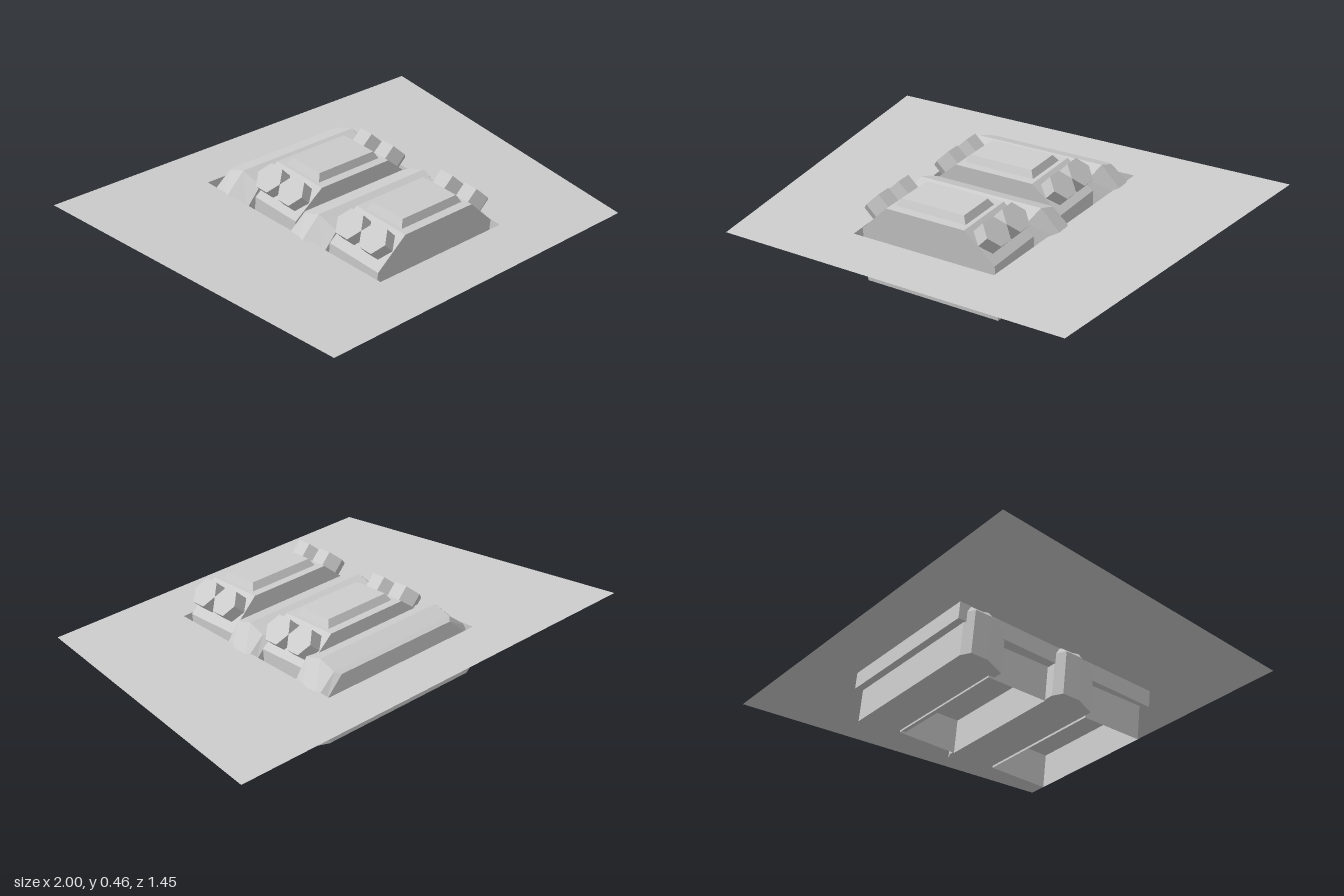
import * as THREE from 'three';

const material = new THREE.MeshStandardMaterial({
  color: 0xcccccc, flatShading: true, side: THREE.DoubleSide,
});

// Skins a row of cross-sections ({ z, pts: [[x, y], ...] }, back to front) and caps both ends.
function loft(sections, closed) {
  const out = [];
  const n = sections[0].pts.length;
  const at = (s, i) => [...s.pts[i % n], s.z];
  for (let k = 0; k < sections.length - 1; k++) {
    const s = sections[k], t = sections[k + 1];
    for (let i = 0; i < (closed ? n : n - 1); i++) {
      out.push(...at(s, i), ...at(t, i), ...at(s, i + 1));
      out.push(...at(s, i + 1), ...at(t, i), ...at(t, i + 1));
    }
  }
  const back = sections[0], front = sections[sections.length - 1];
  for (let i = 1; i < n - 1; i++) {
    out.push(...at(back, 0), ...at(back, i), ...at(back, i + 1));
    out.push(...at(front, 0), ...at(front, i + 1), ...at(front, i));
  }
  const g = new THREE.BufferGeometry();
  g.setAttribute('position', new THREE.Float32BufferAttribute(out, 3));
  g.computeVertexNormals();
  return g;
}

// Upright sides, sloping shoulders and a flat top.
const archProfile = (bottom, side, shoulder, flat, top) => [
  [-side, bottom], [-side, shoulder], [-flat, top],
  [flat, top], [side, shoulder], [side, bottom],
];

function add(parent, name, geometry) {
  const mesh = new THREE.Mesh(geometry, material);
  mesh.name = name;
  parent.add(mesh);
  return mesh;
}

export function createModel() {
  const root = new THREE.Group();
  root.name = 'enginePanel';
  // Everything lies on one plane that tips down towards the front.
  const deck = new THREE.Group();
  deck.name = 'slopedDeck';
  deck.rotation.x = 0.103;
  deck.position.y = 0.275;
  root.add(deck);

  // Tapered sheet with a tapered opening
  const trapezoid = (back, zb, front, zf) => [
    [-front, -zf], [front, -zf], [back, -zb], [-back, -zb],
  ].map(([x, y]) => new THREE.Vector2(x, y));
  const sheet = new THREE.Shape(trapezoid(1, -0.73, 0.82, 0.727));
  sheet.holes.push(new THREE.Path(trapezoid(0.39, -0.5, 0.345, 0.482).reverse()));
  add(deck, 'sheet', new THREE.ShapeGeometry(sheet).rotateX(-Math.PI / 2));

  // Shallow recess hanging under the opening
  const recess = (w, z) => ({ z, pts: [[w, 0], [w, -0.075], [-w, -0.075], [-w, 0]] });
  add(deck, 'recess', loft([recess(0.39, -0.5), recess(0.345, 0.482)], false));

  // Two blocks, each with a raised panel and four hexagonal studs
  [[0.311, 0.137], [-0.162, 0.125]].forEach(([zMid, top]) => {
    const block = new THREE.Group();
    block.name = 'block';
    block.position.z = zMid;
    deck.add(block);

    const pts = archProfile(-0.23, 0.325, 0.015, 0.19, top);
    add(block, 'blockBody', loft([{ z: -0.136, pts }, { z: 0.136, pts }], false));

    // Bevelled panel on the flat top
    const slab = (w, z, y) => [[-w, y, z], [w, y, z]];
    const panel = new THREE.BoxGeometry(0.34, 0.03, 0.195);
    const p = panel.attributes.position;
    for (let i = 0; i < p.count; i++) {
      if (p.getY(i) > 0) p.setXYZ(i, p.getX(i) * 0.9, p.getY(i), p.getZ(i) * 0.82);
    }
    panel.computeVertexNormals();
    add(block, 'raisedPanel', panel).position.y = top + 0.015;

    // Studs standing square on the sloping shoulders
    for (const side of [-1, 1]) {
      for (const z of [-0.066, 0.066]) {
        const stud = add(block, 'stud', new THREE.CylinderGeometry(0.066, 0.066, 0.1, 6));
        stud.position.set(side * 0.26, top - 0.045, z);
        stud.rotation.z = -side * Math.PI / 4;
      }
    }
  });

  // Two wider ribs behind the blocks, chamfered at both ends
  [[0, 0], [-0.446, 0.012]].forEach(([z0, extra]) => {
    const rib = (z, side, flat, top) => ({
      z: z + z0,
      pts: archProfile(-0.221, side + extra, -0.03, flat + extra, top),
    });
    add(deck, 'rib', loft([
      rib(-0.022, 0.365, 0.28, 0.05),
      rib(0.0, 0.41, 0.3, 0.06),
      rib(0.077, 0.41, 0.3, 0.09),
      rib(0.174, 0.36, 0.29, 0.06),
    ], true));
  });

  return root;
}
